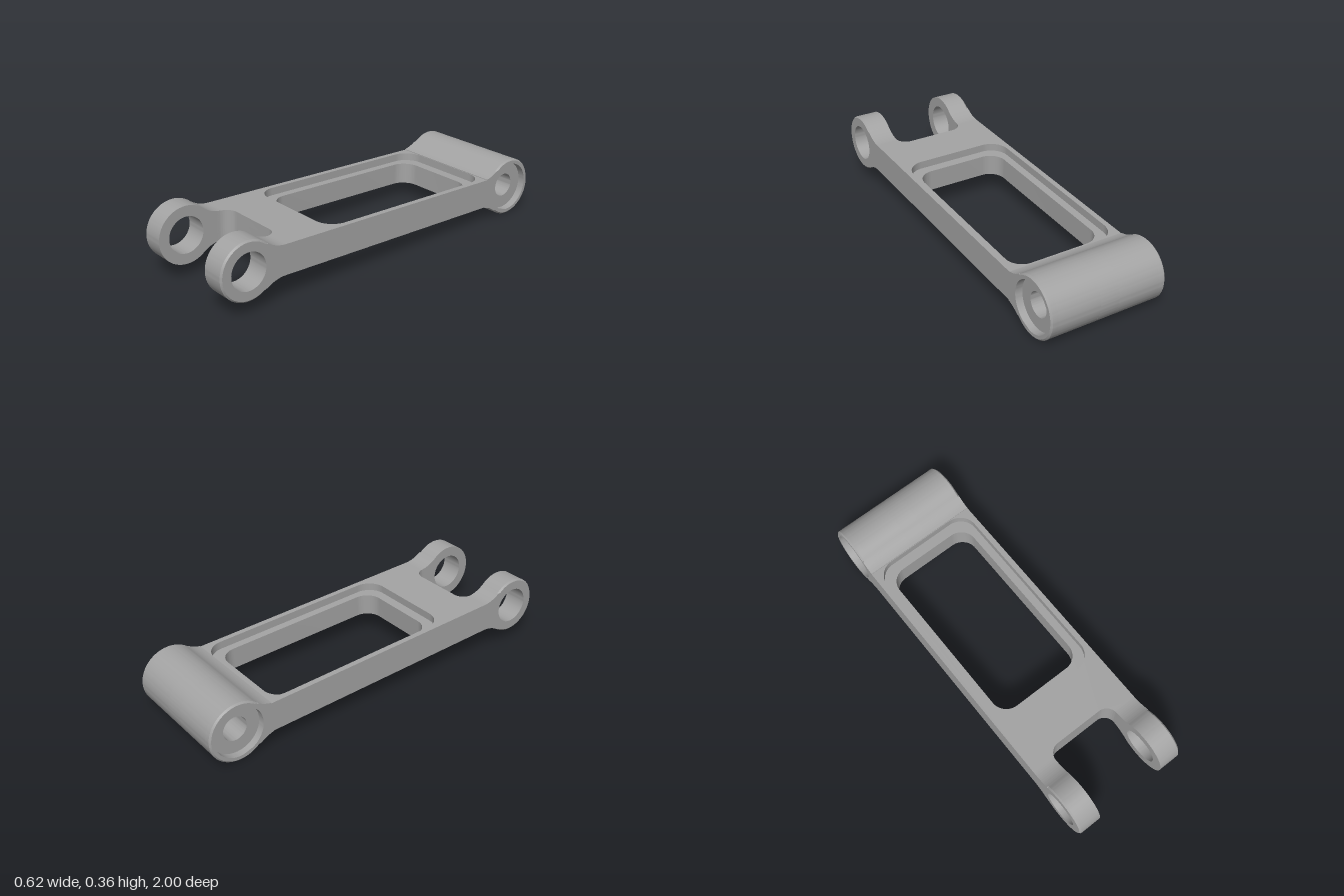
import * as THREE from 'three';
import { toCreasedNormals } from 'three/addons/utils/BufferGeometryUtils.js';

const HALF_W = 0.308;   // half width of the arm
const HALF_T = 0.076;   // half thickness of the bar
const FILLET = 0.17;    // blend between bar and round ends
const CHAMFER = 0.008;
const Z_END = 0.85;     // distance of both pivots from the middle
const FRONT_R = 0.147, FRONT_BORE = 0.093;
const REAR_R = 0.153, REAR_BORE = 0.062, COUNTERBORE = 0.128;
const OIL_R = 0.045, OIL_BOX = 0.05;

// Side profile of a round end with fillets running into the bar.
// First axis points away from the bar, second axis is up.
function endProfile(R, bore, trim = 0, notch = 0) {
  const c = HALF_T + FILLET;
  const u = Math.sqrt((R + FILLET) ** 2 - c * c);
  const phi = Math.atan2(c, -u);
  const s = new THREE.Shape();
  s.absarc(-u, c, FILLET, -Math.PI / 2 + trim, Math.atan2(-c, u), false);
  if (notch) {
    // open at the bottom for the oil hole
    const a = Math.asin(notch / R), b = Math.asin(notch / bore);
    s.absarc(0, 0, R, phi, -Math.PI / 2 + a, true);
    s.absarc(0, 0, bore, -Math.PI / 2 + b, Math.PI * 1.5 - b, false);
    s.absarc(0, 0, R, -Math.PI / 2 - a, -phi, true);
  } else {
    s.absarc(0, 0, R, phi, -phi, true);
    s.holes.push(new THREE.Path().absarc(0, 0, bore, 0, Math.PI * 2, false));
  }
  s.absarc(-u, -c, FILLET, Math.atan2(c, u), Math.PI / 2 - trim, false);
  return s;
}

// Rectangle with rounded corners in plan
function roundRect(path, x, y0, y1, r) {
  path.absarc(x - r, y1 - r, r, 0, Math.PI / 2);
  path.absarc(-x + r, y1 - r, r, Math.PI / 2, Math.PI);
  path.absarc(-x + r, y0 + r, r, Math.PI, Math.PI * 1.5);
  path.absarc(x - r, y0 + r, r, Math.PI * 1.5, Math.PI * 2);
  path.closePath();
  return path;
}

// Plan outline of the bar with the fork slot (shape y = -z) and a window
function platePlan(win) {
  const tip = -0.68, sx = 0.188, sy = -0.608, r = 0.06;
  const s = new THREE.Shape();
  s.moveTo(HALF_W, tip);
  s.lineTo(HALF_W, 0.68);
  s.lineTo(-HALF_W, 0.68);
  s.lineTo(-HALF_W, tip);
  s.lineTo(-sx, tip);
  s.absarc(-sx + r, sy - r, r, Math.PI, Math.PI / 2, true);
  s.absarc(sx - r, sy - r, r, Math.PI / 2, 0, true);
  s.lineTo(sx, tip);
  s.closePath();
  s.holes.push(roundRect(new THREE.Path(), ...win));
  return s;
}

export function createModel() {
  const model = new THREE.Group();
  model.name = 'linkArm';
  const arm = new THREE.Group();
  arm.name = 'tiltedArm';
  arm.position.set(0, 0.1865, 0.003);
  arm.rotation.x = -0.0356;
  model.add(arm);

  const metal = new THREE.MeshStandardMaterial({ color: 0xa3a3a3 });
  metal.name = 'grey metal';

  function add(name, geometry) {
    const mesh = new THREE.Mesh(toCreasedNormals(geometry, 0.5), metal);
    mesh.name = name;
    arm.add(mesh);
  }

  // Extrude a side profile from x0 to x1; chamfer narrows the outer end
  function slice(name, shape, x0, x1, front, chamferR = 0) {
    const g = new THREE.ExtrudeGeometry(shape, { depth: x1 - x0, bevelEnabled: false, curveSegments: 40 });
    if (chamferR) {
      const p = g.attributes.position;
      const outerIsFar = ((x0 + x1) > 0) !== front;
      for (let i = 0; i < p.count; i++) {
        const far = p.getZ(i) > (x1 - x0) / 2;
        if (far === outerIsFar && Math.abs(Math.hypot(p.getX(i), p.getY(i)) - chamferR) < 0.001) {
          const k = 1 - CHAMFER / chamferR;
          p.setXY(i, p.getX(i) * k, p.getY(i) * k);
        }
      }
    }
    g.rotateY(front ? -Math.PI / 2 : Math.PI / 2);
    g.translate(front ? x1 : x0, 0, front ? Z_END : -Z_END);
    add(name, g);
  }

  // Both sides of the arm
  function pair(name, shape, a, b, front, chamferR) {
    slice(name + 'Left', shape, a, b, front, chamferR);
    slice(name + 'Right', shape, -b, -a, front, chamferR);
  }

  // Bar in two layers: the upper one has the larger window, leaving a ledge
  function plate(name, y0, y1, win) {
    const g = new THREE.ExtrudeGeometry(platePlan(win), { depth: y1 - y0, bevelEnabled: false, curveSegments: 16 });
    g.rotateX(-Math.PI / 2);
    g.translate(0, y0, 0);
    add(name, g);
  }
  plate('barLower', -HALF_T, 0.036, [0.24, -0.33, 0.615, 0.085]);
  plate('barUpper', 0.036, HALF_T, [0.28, -0.38, 0.67, 0.095]);

  // Fork lugs at the front
  const lug = endProfile(FRONT_R, FRONT_BORE);
  pair('forkLug', lug, 0.188, HALF_W - CHAMFER, true);
  pair('forkLugRim', lug, HALF_W - CHAMFER, HALF_W, true, FRONT_R);

  // Rear barrel with counterbored ends
  const trim = 0.19, floor = HALF_W - 0.037;
  const cup = endProfile(REAR_R, COUNTERBORE, trim);
  pair('barrel', endProfile(REAR_R, REAR_BORE, trim), OIL_BOX, floor, false);
  pair('barrelCup', cup, floor, HALF_W - CHAMFER, false);
  pair('barrelRim', cup, HALF_W - CHAMFER, HALF_W, false, REAR_R);
  slice('barrelMiddle', endProfile(REAR_R, REAR_BORE, trim, OIL_BOX), -OIL_BOX, OIL_BOX, false);

  // Oil hole block under the barrel, curved to follow bore and outside
  const block = new THREE.Shape();
  const n = 10;
  block.moveTo(-OIL_BOX, -OIL_BOX);
  for (let i = 0; i <= n; i++) block.lineTo(OIL_BOX, OIL_BOX * (2 * i / n - 1));
  for (let i = 0; i < n; i++) block.lineTo(-OIL_BOX, OIL_BOX * (1 - 2 * i / n));
  block.holes.push(new THREE.Path().absarc(0, 0, OIL_R, 0, Math.PI * 2, false));
  const g = new THREE.ExtrudeGeometry(block, { depth: 1, bevelEnabled: false, curveSegments: 32 });
  g.rotateX(-Math.PI / 2);
  const p = g.attributes.position;
  for (let i = 0; i < p.count; i++) {
    const R = p.getY(i) > 0.5 ? REAR_BORE : REAR_R;
    p.setY(i, -Math.sqrt(R * R - p.getZ(i) ** 2));
  }
  g.translate(0, 0, -Z_END);
  add('oilHole', g);

  return model;
}
